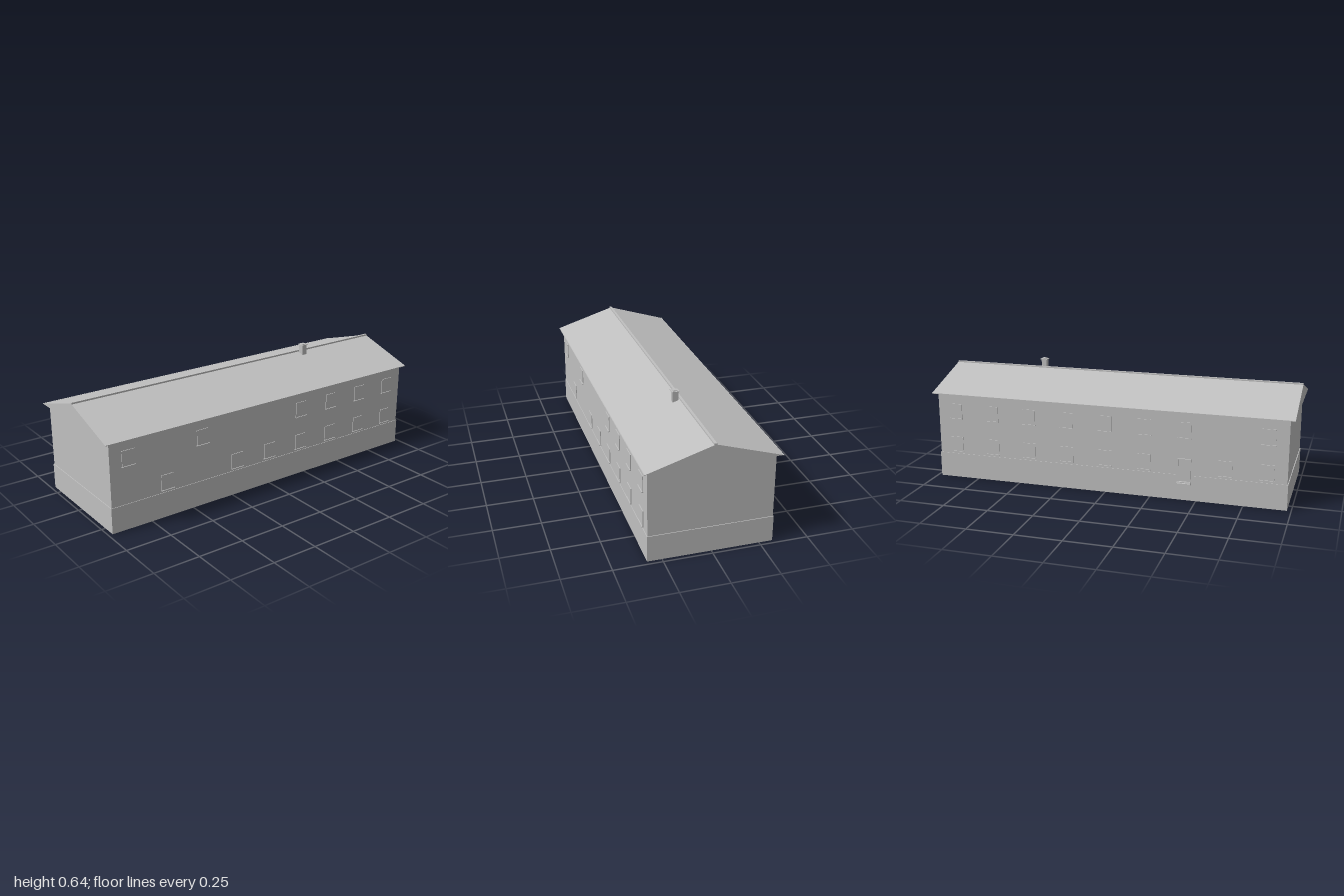
import * as THREE from 'three';

export function createModel() {
  const model = new THREE.Group();
  model.name = 'longHouse';
  const plaster = new THREE.MeshStandardMaterial({ color: 0xc0c0c0 });
  plaster.name = 'plainGrey';

  const add = (parent, name, geometry) => {
    const mesh = new THREE.Mesh(geometry, plaster);
    mesh.name = name;
    parent.add(mesh);
    return mesh;
  };
  // Box given by its limits on each axis
  const box = (parent, name, x0, x1, y0, y1, z0, z1) => {
    const mesh = add(parent, name, new THREE.BoxGeometry(x1 - x0, y1 - y0, z1 - z0));
    mesh.position.set((x0 + x1) / 2, (y0 + y1) / 2, (z0 + z1) / 2);
    return mesh;
  };

  // Body
  box(model, 'plinth', -0.978, 0.978, 0, 0.139, -0.32, 0.325);
  box(model, 'walls', -0.974, 0.974, 0.139, 0.488, -0.317, 0.322);

  // Gabled roof, extruded along the length of the house
  const gable = new THREE.Shape([
    new THREE.Vector2(-0.342, 0.487),
    new THREE.Vector2(0.342, 0.487),
    new THREE.Vector2(0.003, 0.593),
    new THREE.Vector2(-0.003, 0.593),
  ]);
  const roof = new THREE.ExtrudeGeometry(gable, { depth: 2, bevelEnabled: false });
  roof.translate(0, 0, -1).rotateY(Math.PI / 2);
  add(model, 'roof', roof);
  box(model, 'ridgeCap', -1, 1, 0.588, 0.6, -0.004, 0.009);
  for (const side of [-1, 1]) {
    const edge = box(model, 'eaveEdge', -1, 1, 0.484, 0.488, -0.002, 0.002);
    edge.position.z = side * 0.342;
  }

  // Chimney
  const chimney = new THREE.Group();
  chimney.name = 'chimney';
  model.add(chimney);
  box(chimney, 'chimneyStack', 0.453, 0.483, 0.56, 0.636, 0.016, 0.046);
  box(chimney, 'chimneyCap', 0.448, 0.488, 0.635, 0.639, 0.011, 0.051);
  box(chimney, 'chimneyTop', 0.456, 0.48, 0.639, 0.643, 0.019, 0.043);

  // Window: thin pane plate with a projecting sill, built facing +z at the wall surface
  const addWindow = (parent, x, y) => {
    const group = new THREE.Group();
    group.name = 'window';
    group.position.set(x, y, 0);
    parent.add(group);
    box(group, 'windowPlate', -0.036, 0.036, 0.002, 0.085, -0.002, 0.004);
    box(group, 'windowSill', -0.038, 0.038, -0.002, 0.002, -0.002, 0.009);
  };

  const front = new THREE.Group();
  front.name = 'frontOpenings';
  front.position.z = 0.322;
  const back = new THREE.Group();
  back.name = 'backOpenings';
  back.position.z = -0.317;
  back.rotation.y = Math.PI;
  model.add(front, back);

  // Columns are counted in bays from the middle of the house
  const bay = 0.2175, upper = 0.343, lower = 0.152;
  for (const i of [-4, -2, 1, 2, 3, 4]) addWindow(front, i * bay, upper);
  for (const i of [-3, -1, 0, 1, 2, 3, 4]) addWindow(front, i * bay, lower);
  for (const i of [-4, -2, -1, 0, 1, 2, 3, 4]) addWindow(back, -i * bay, upper);
  for (const i of [-4, -3, -1, 0, 1, 2, 3, 4]) addWindow(back, -i * bay, lower);

  // Back door with frame, threshold and step
  const door = new THREE.Group();
  door.name = 'backDoor';
  door.position.x = 2 * bay;
  back.add(door);
  box(door, 'doorPanel', -0.032, 0.032, 0.1, 0.226, -0.002, 0.005);
  for (const side of [-1, 1]) {
    const jamb = box(door, 'doorJamb', -0.003, 0.003, 0.1, 0.23, -0.002, 0.008);
    jamb.position.x = side * 0.034;
  }
  box(door, 'doorHead', -0.037, 0.037, 0.224, 0.23, -0.002, 0.008);
  box(door, 'threshold', -0.037, 0.037, 0.1, 0.105, -0.002, 0.016);
  box(door, 'doorStep', -0.038, 0.038, 0.092, 0.1, -0.002, 0.028);

  return model;
}
